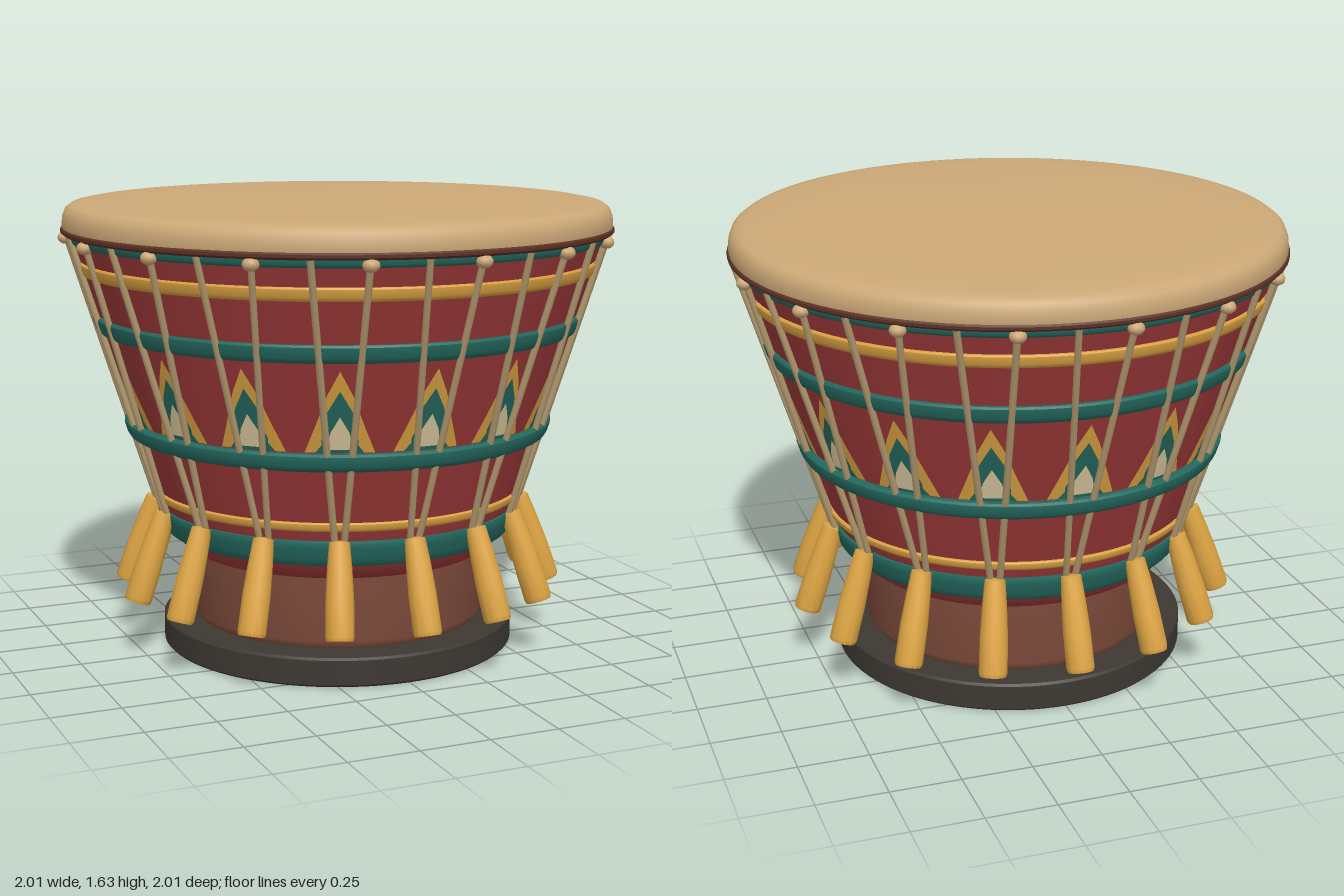
import * as THREE from 'three';
import { toCreasedNormals } from 'three/addons/utils/BufferGeometryUtils.js';

const COUNT = 16;
const STEP = (Math.PI * 2) / COUNT;
const SLOPE = 0.31;
const shellRadius = (y) => 0.664 + (y - 0.56) * SLOPE;

const material = (name, color, side = THREE.FrontSide) => {
  const m = new THREE.MeshStandardMaterial({ color, side });
  m.name = name;
  return m;
};

function lathe(points, segments = 96) {
  const profile = points.map(([r, y]) => new THREE.Vector2(r, y));
  return toCreasedNormals(new THREE.LatheGeometry(profile, segments), 0.6);
}

// Rounded hoop that follows the slope of the shell
function band(y0, y1, depth) {
  const h = y1 - y0;
  const at = (t, d) => [shellRadius(y0 + h * t) + d, y0 + h * t];
  return lathe([at(0, -0.01), at(0, depth * 0.6), at(0.12, depth * 0.9), at(0.3, depth),
    at(0.7, depth), at(0.88, depth * 0.9), at(1, depth * 0.6), at(1, -0.01)]);
}

// Painted patch wrapped on the shell; rows are [height, half width]
function patch(rows, lift) {
  const cols = 8;
  const geo = new THREE.PlaneGeometry(1, 1, cols, rows.length - 1);
  const pos = geo.attributes.position;
  for (let i = 0; i < pos.count; i++) {
    const [y, half] = rows[Math.floor(i / (cols + 1))];
    const r = shellRadius(y) + lift;
    const a = (pos.getX(i) * 2 * half) / r;
    pos.setXYZ(i, r * Math.sin(a), y, r * Math.cos(a));
  }
  geo.computeVertexNormals();
  return geo;
}

const onShell = (y, angle, lift) => {
  const r = shellRadius(y) + lift;
  return new THREE.Vector3(r * Math.sin(angle), y, r * Math.cos(angle));
};

export function createModel() {
  const model = new THREE.Group();
  model.name = 'drum';

  const skin = material('drum skin tan', 0xcca877);
  const red = material('red lacquer', 0x9c3838);
  const teal = material('teal paint', 0x24695f);
  const gold = material('golden yellow', 0xdda443);
  const brown = material('brown wood', 0x7c4a3a);
  const dark = material('dark base', 0x3d3832);
  const cream = material('cream paint', 0xdfcda2);
  const cord = material('cord', 0xb39a70);
  const rim = material('dark rim', 0x5c3024);

  const add = (name, geo, mat, parent = model) => {
    const mesh = new THREE.Mesh(geo, mat);
    mesh.name = name;
    parent.add(mesh);
    return mesh;
  };

  // Foot and stem
  add('base', lathe([[0, 0], [0.642, 0], [0.65, 0.008], [0.65, 0.097], [0.642, 0.105], [0, 0.105]]), dark);
  add('stem', lathe([[0.525, 0.1], [0.537, 0.115], [0.54, 0.13], [0.54, 0.39]]), brown);

  // Flared shell
  add('shell', lathe([[0.5, 0.372], [0.555, 0.366], [0.575, 0.378], [shellRadius(0.43), 0.43],
    [shellRadius(0.56), 0.56], [shellRadius(1.54), 1.54]]), red);

  // Painted hoops
  [
    ['lowerTealBand', 0.432, 0.525, 0.02, teal],
    ['lowerGoldBand', 0.562, 0.594, 0.015, gold],
    ['middleTealBand', 0.788, 0.852, 0.035, teal],
    ['upperTealBand', 1.173, 1.236, 0.023, teal],
    ['upperGoldBand', 1.383, 1.43, 0.016, gold],
    ['topTealBand', 1.495, 1.528, 0.016, teal],
  ].forEach(([name, y0, y1, depth, mat]) => add(name, band(y0, y1, depth), mat));

  // Stretched skin and the hoop under it
  add('rimHoop', lathe([[0.95, 1.522], [0.988, 1.522], [0.998, 1.53], [0.998, 1.54], [0.988, 1.55], [0.95, 1.55]]), rim);
  add('drumSkin', lathe([[0.96, 1.538], [0.99, 1.538], [0.993, 1.55], [0.99, 1.585], [0.98, 1.61],
    [0.962, 1.624], [0.93, 1.63], [0.78, 1.635], [0, 1.635]]), skin);

  // Shared geometry for the repeated parts
  const pegGeo = lathe([[0, 0], [0.046, 0], [0.05, 0.012], [0.049, 0.14], [0.043, 0.25], [0.036, 0.335], [0, 0.342]], 12);
  const knotGeo = new THREE.SphereGeometry(0.029, 12, 8);
  const ropeGeos = [-1, 1].map((s) => new THREE.TubeGeometry(new THREE.LineCurve3(
    onShell(0.53, s * 0.025, 0.02), onShell(1.525, (s * STEP) / 4, 0.019)), 4, 0.012, 8));
  const flame = [
    ['flameOuter', patch([[1.145, 0], [1.06, 0.043], [1.0, 0.064], [0.94, 0.086], [0.856, 0.118]], 0.004), gold],
    ['flameMiddle', patch([[1.075, 0], [1.0, 0.043], [0.965, 0.052], [0.945, 0.046], [0.9, 0.062],
      [0.885, 0.06], [0.856, 0.082]], 0.006), teal],
    ['flameInner', patch([[0.985, 0], [0.93, 0.031], [0.905, 0.038], [0.868, 0.042]], 0.008), cream],
  ];

  // Peg, pair of cords, knot and flame in each sector
  for (let i = 0; i < COUNT; i++) {
    const sector = new THREE.Group();
    sector.name = 'sector';
    sector.rotation.y = i * STEP;
    model.add(sector);

    const peg = add('peg', pegGeo, gold, sector);
    peg.position.set(0, 0.21, 0.785);
    peg.rotation.x = -0.33;

    ropeGeos.forEach((geo) => add('rope', geo, cord, sector));
    const knot = add('knot', knotGeo, skin, sector);
    knot.position.copy(onShell(1.505, STEP / 4, 0.023));
    knot.scale.y = 0.8;
    flame.forEach(([name, geo, mat]) => add(name, geo, mat, sector));
  }
  return model;
}
